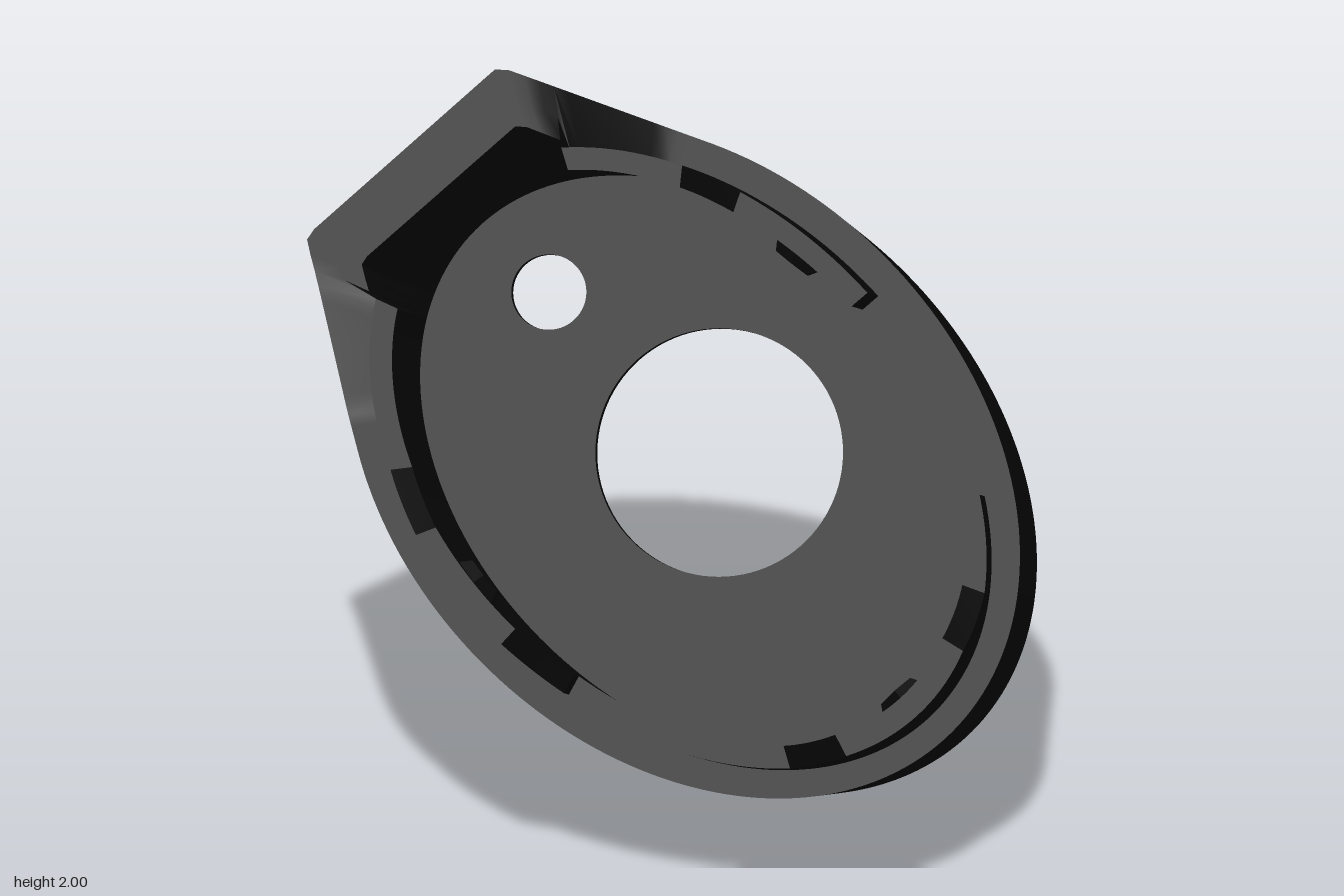
import * as THREE from 'three';
import { toCreasedNormals } from 'three/addons/utils/BufferGeometryUtils.js';

const rad = THREE.MathUtils.degToRad;
const BASE = -0.155, FLOOR = -0.1, RIM = 0.685, EAR = 0.55;
const EAR_ANGLE = 2.5;

// Raised lip arcs around the mouth: [angle, height] pairs, with taller tabs
const LIP_ARCS = [
  [[32, 0.83], [55, 0.83], [67, 1.0], [93.5, 1.0]],
  [[132, 0.83], [151, 0.83], [164, 0.99], [200, 0.99], [213, 0.83], [233, 0.83]],
  [[256, 0.83], [268, 0.99], [290.5, 0.99], [303, 0.83], [336, 0.83]],
];

function lerpTable(table, t) {
  for (let i = 1; i < table.length; i++) {
    const [t0, h0] = table[i - 1], [t1, h1] = table[i];
    if (t <= t1) return h0 + (h1 - h0) * (t - t0) / (t1 - t0);
  }
  return table[table.length - 1][1];
}

// Angle away from the middle of the ear, 0 to 180
const away = (t) => Math.abs(((t - EAR_ANGLE + 180) % 360 + 360) % 360 - 180);

// Widening of the oval into the flat-ended ear
function earFactor(t) {
  const d = away(t);
  let r = 1;
  if (d < 22.2) r = 1.1 / Math.cos(rad(d));
  else if (d < 54.9) r = 1 / Math.cos(rad(54.9 - d));
  return Math.min(r, 1.182);
}

// Wall height drops at the ear
const rimHeight = (t) => EAR + (RIM - EAR) * THREE.MathUtils.clamp((away(t) - 27) / 21, 0, 1);

const oval = (a, b, t, k, w) => [a * k * Math.cos(rad(t)), -b * k * Math.sin(rad(t)), w];

// One slice of the wall, from outer foot over the rim and lip to the inner foot
function section(t, lip) {
  const k = earFactor(t), rim = rimHeight(t);
  const kin = lip === null ? k : 1;
  const top = lip === null ? rim : lip;
  return [
    oval(0.985, 0.73, t, 1, BASE),
    oval(1.02, 0.76, t, k, rim),
    oval(0.95, 0.675, t, kin, rim),
    oval(0.95, 0.675, t, kin, top),
    oval(0.885, 0.62, t, kin, top),
    oval(0.89, 0.64, t, 1, FLOOR),
  ];
}

function wallGeometry() {
  const sections = [];
  const sweep = (from, to, stops, heightAt) => {
    const angles = new Set([from, to, ...stops]);
    for (let t = Math.ceil(from / 2) * 2; t < to; t += 2) angles.add(t);
    [...angles].sort((a, b) => a - b).forEach((t) => sections.push(section(t, heightAt(t))));
  };
  let cursor = LIP_ARCS[2][4][0] - 360;
  for (const arc of LIP_ARCS) {
    const start = arc[0][0], end = arc[arc.length - 1][0];
    sweep(cursor, start, [], () => null);
    sweep(start, end, arc.map((p) => p[0]), (t) => lerpTable(arc, t));
    cursor = end;
  }
  sections.push(sections[0]);

  const pos = [];
  for (let i = 0; i < sections.length - 1; i++) {
    const p = sections[i], q = sections[i + 1];
    for (let j = 0; j < p.length - 1; j++) {
      pos.push(...p[j], ...p[j + 1], ...q[j + 1], ...p[j], ...q[j + 1], ...q[j]);
    }
  }
  const geo = new THREE.BufferGeometry();
  geo.setAttribute('position', new THREE.Float32BufferAttribute(pos, 3));
  return toCreasedNormals(geo, rad(25));
}

// Floor plate with a large central opening and a small one toward the ear
function floorGeometry() {
  const shape = new THREE.Shape().absellipse(0, 0, 0.985, 0.73, 0, Math.PI * 2);
  for (const [x, y, r] of [[0.012, -0.045, 0.33], [0.635, -0.022, 0.1]]) {
    shape.holes.push(new THREE.Path().absarc(x, y, r, 0, Math.PI * 2, true));
  }
  const geo = new THREE.ExtrudeGeometry(shape, {
    depth: FLOOR - BASE, bevelEnabled: false, curveSegments: 48,
  });
  geo.translate(0, 0, BASE);
  return toCreasedNormals(geo, rad(25));
}

export function createModel() {
  const model = new THREE.Group();
  model.name = 'tiltedHousing';
  const black = new THREE.MeshStandardMaterial({ color: 0x060606 });
  black.name = 'black';

  // Cup frame: turned so the ear points to the upper corner
  const cup = new THREE.Group();
  cup.name = 'cup';
  cup.rotation.z = rad(137);
  cup.position.set(0.062, 0.914, 0);

  const add = (geo, name) => {
    const mesh = new THREE.Mesh(geo, black);
    mesh.name = name;
    cup.add(mesh);
    return mesh;
  };
  add(wallGeometry(), 'wallWithEarAndTabs');
  add(floorGeometry(), 'floorPlate');

  // Small six-sided catches on the inner faces of the tabs
  for (const t of [80, 182, 279]) {
    const geo = new THREE.CylinderGeometry(0.06, 0.1, 0.06, 6).toNonIndexed();
    geo.computeVertexNormals();
    const tabCatch = add(geo, 'tabCatch');
    tabCatch.position.set(...oval(0.885, 0.62, t, 1, 0.87));
    const inward = new THREE.Vector3(-0.62 * Math.cos(rad(t)), 0.885 * Math.sin(rad(t)), 0).normalize();
    tabCatch.quaternion.setFromUnitVectors(new THREE.Vector3(0, 1, 0), inward);
  }

  // Lean the whole cup back
  const tilt = new THREE.Group();
  tilt.name = 'tilt';
  tilt.rotation.x = rad(-24);
  tilt.add(cup);
  model.add(tilt);
  return model;
}
